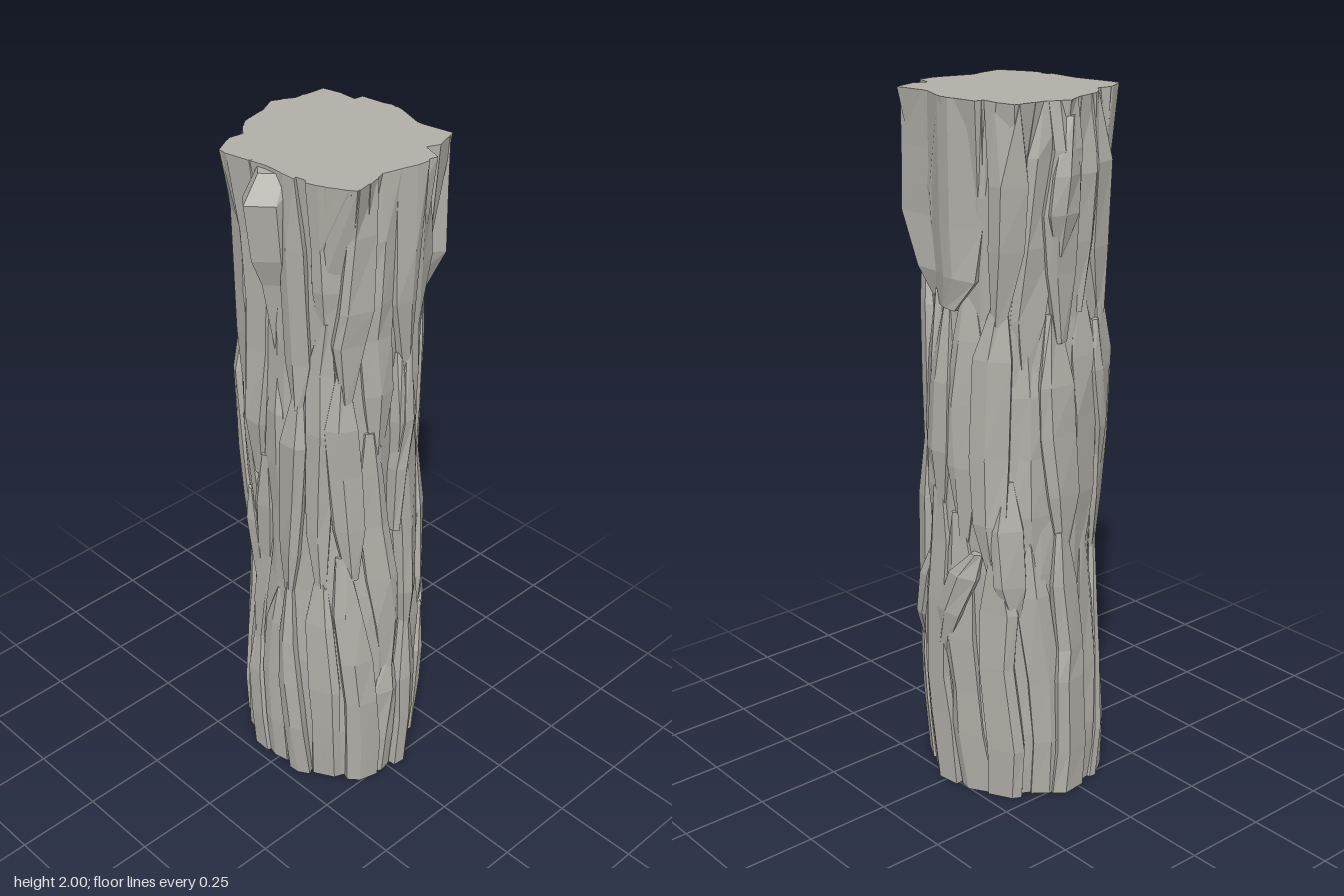
import * as THREE from 'three';

const HEIGHT = 2;

// Small seeded random generator
let seed = 23;
function rnd(a = 0, b = 1) {
  seed = (seed * 16807) % 2147483647;
  return a + (b - a) * (seed / 2147483647);
}

// Outline of the sawn top end, as x, z pairs
const OUTLINE = [
  [0.262, 0], [0.228, 0.066], [0.25, 0.188], [0.175, 0.216], [0.139, 0.2], [0.118, 0.26], [-0.037, 0.227],
  [-0.16, 0.26], [-0.2, 0.193], [-0.22, 0.045], [-0.218, -0.018], [-0.245, -0.141], [-0.177, -0.18],
  [-0.136, -0.175], [-0.08, -0.23], [0, -0.25], [0.055, -0.28], [0.118, -0.25], [0.213, -0.246],
  [0.225, -0.19], [0.216, -0.139], [0.25, -0.135], [0.266, -0.018],
];
const OUTLINE_POLAR = OUTLINE.map(([x, z]) => [(Math.atan2(z, x) + 2 * Math.PI) % (2 * Math.PI), Math.hypot(x, z)])
  .sort((p, q) => p[0] - q[0]);

// Bark reach every 0.25 in height, for eight directions starting at +x towards +z
const REACH = [
  [0.27, 0.283, 0.294, 0.275, 0.298, 0.288, 0.264, 0.26, 0.262],
  [0.265, 0.28, 0.288, 0.277, 0.267, 0.263, 0.262, 0.3, 0.305],
  [0.285, 0.302, 0.287, 0.29, 0.26, 0.282, 0.262, 0.27, 0.255],
  [0.25, 0.28, 0.285, 0.25, 0.245, 0.262, 0.258, 0.285, 0.287],
  [0.226, 0.242, 0.225, 0.208, 0.222, 0.242, 0.214, 0.22, 0.22],
  [0.263, 0.268, 0.238, 0.238, 0.255, 0.27, 0.27, 0.272, 0.265],
  [0.289, 0.3, 0.283, 0.275, 0.288, 0.29, 0.268, 0.284, 0.28],
  [0.285, 0.305, 0.3, 0.32, 0.295, 0.3, 0.292, 0.325, 0.325],
];

const lerp = THREE.MathUtils.lerp;
const wrap = (a) => ((a % (2 * Math.PI)) + 2 * Math.PI) % (2 * Math.PI);

function outlineRadius(angle) {
  const a = wrap(angle), n = OUTLINE_POLAR.length;
  for (let i = 0; i < n; i++) {
    const [a0, r0] = OUTLINE_POLAR[i];
    const [a1, r1] = i + 1 < n ? OUTLINE_POLAR[i + 1] : [2 * Math.PI, OUTLINE_POLAR[0][1]];
    if (a >= a0 && a <= a1) return lerp(r0, r1, (a - a0) / (a1 - a0));
  }
  return OUTLINE_POLAR[0][1];
}

function barkReach(angle, y) {
  const s = wrap(angle) / (Math.PI / 4), i = Math.floor(s) % 8;
  const h = Math.min(y / 0.25, 7.999), j = Math.floor(h);
  const at = (p) => lerp(p[j], p[j + 1], h - j);
  return lerp(at(REACH[i]), at(REACH[(i + 1) % 8]), s - Math.floor(s));
}

const polar = (a, r, y) => [Math.cos(a) * r, y, Math.sin(a) * r];

// Closed skin through rings of points, with flat ends
function loft(rings) {
  const pos = [];
  const tri = (...pts) => pts.forEach((p) => pos.push(...p));
  const n = rings[0].length;
  for (let k = 0; k + 1 < rings.length; k++) {
    const a = rings[k], b = rings[k + 1];
    for (let i = 0; i < n; i++) {
      const j = (i + 1) % n;
      tri(a[i], b[i], a[j]);
      tri(b[i], b[j], a[j]);
    }
  }
  const middle = (ring) => [0, 1, 2].map((c) => ring.reduce((s, p) => s + p[c], 0) / n);
  const low = rings[0], high = rings[rings.length - 1];
  const lowMid = middle(low), highMid = middle(high);
  for (let i = 0; i < n; i++) {
    const j = (i + 1) % n;
    tri(lowMid, low[i], low[j]);
    tri(highMid, high[j], high[i]);
  }
  const geo = new THREE.BufferGeometry();
  geo.setAttribute('position', new THREE.Float32BufferAttribute(pos, 3));
  geo.computeVertexNormals();
  return geo;
}

// Faceted slab of bark running up the trunk, tapered unless it reaches an end
function plateGeometry({ angle, y0, y1, half, lift = 1, lean = 0 }) {
  const rows = Math.max(3, Math.round((y1 - y0) / 0.18));
  const crestSide = rnd(-0.5, 0.5);
  const rings = [];
  for (let k = 0; k <= rows; k++) {
    const t = k / rows;
    const atTop = k === rows && y1 >= HEIGHT;
    const y = lerp(y0, y1, t) + (k > 0 && k < rows ? rnd(-0.04, 0.04) : 0);
    const fromLow = y0 <= 0 ? 1 : t * 2.6 + 0.35;
    const fromHigh = y1 >= HEIGHT ? 1 : (1 - t) * 2.6 + 0.35;
    const taper = Math.min(1, fromLow, fromHigh);
    const w = half * taper * rnd(0.88, 1.1);
    const a = angle + lean * (t - 0.5) + 0.09 * Math.sin(3.2 * y + 2 * angle) + rnd(-0.03, 0.03);
    const deep = outlineRadius(a) * 0.76;
    const top = (side, scale) => {
      const q = a + w * side;
      const r = atTop ? outlineRadius(q) : barkReach(q, y) * lift * scale * lerp(0.92, 1, taper);
      return polar(q, r, y);
    };
    rings.push([
      polar(a - w, deep, y),
      top(-0.88, rnd(0.95, 0.98)),
      top(crestSide, rnd(0.985, 1.015)),
      top(0.88, rnd(0.95, 0.98)),
      polar(a + w, deep, y),
    ]);
  }
  return loft(rings);
}

export function createModel() {
  const group = new THREE.Group();
  group.name = 'log';
  const bark = new THREE.MeshStandardMaterial({ color: 0xb2afa8, flatShading: true });
  bark.name = 'greyBark';
  const add = (geo, name) => {
    const mesh = new THREE.Mesh(geo, bark);
    mesh.name = name;
    group.add(mesh);
  };

  // Inner trunk
  const levels = [0, 0.2, 0.45, 0.7, 0.95, 1.2, 1.42, 1.75, HEIGHT];
  add(loft(levels.map((y) => OUTLINE_POLAR.map(([a, r]) => (
    polar(a, y === HEIGHT ? r : barkReach(a, y) * rnd(0.87, 0.91), y)
  )))), 'trunk');

  // Bark plates in columns, alternately proud and recessed, below the bare panel on the +x side
  const columns = 18;
  for (let c = 0; c < columns; c++) {
    const proud = c % 2 === 0;
    const angle = ((c + rnd(-0.15, 0.15)) / columns) * Math.PI * 2;
    const offset = Math.atan2(Math.sin(angle - 0.08), Math.cos(angle - 0.08));
    const ceiling = Math.abs(offset) < 0.58 ? 1.46 + 0.4 * offset * offset : HEIGHT;
    let y = 0;
    while (y < ceiling - 0.01) {
      let end = y + rnd(0.42, 0.95);
      if (end > ceiling - 0.3) end = ceiling;
      add(plateGeometry({
        angle, y0: Math.max(0, y - 0.08), y1: end,
        half: proud ? rnd(0.17, 0.22) : rnd(0.19, 0.25),
        lift: proud ? rnd(0.98, 1.01) : rnd(0.93, 0.96),
        lean: rnd(-0.14, 0.14),
      }), 'barkPlate');
      y = end;
    }
  }

  // Smooth bare panel narrowing downwards: height, first and last angle, scale
  const panelRows = [[1.44, -0.2, 0.3, 0.97], [1.53, -0.48, 0.45, 1], [1.67, -0.54, 0.68, 1], [1.85, -0.54, 0.7, 1], [HEIGHT, -0.54, 0.7, 1]];
  add(loft(panelRows.map(([y, a0, a1, s]) => {
    const front = [0, 0.3, 0.45, 0.7, 1].map((t) => lerp(a0, a1, t));
    return [polar(a0, 0.19, y), ...front.map((a) => polar(a, outlineRadius(a) * s, y)), polar(a1, 0.19, y)];
  })), 'barePanel');

  // Flared chip near the top on the -x side: height and reach
  const chipRows = [[1.45, 0.2], [1.68, 0.245], [1.76, 0.28], [1.92, 0.302], [1.99, 0.25]];
  add(loft(chipRows.map(([y, r]) => [
    polar(Math.PI - 0.45, 0.17, y), polar(Math.PI - 0.27, r * 0.85, y), polar(Math.PI - 0.03, r, y),
    polar(Math.PI + 0.11, r * 0.9, y), polar(Math.PI + 0.25, 0.17, y),
  ])), 'flaredChip');

  // Loose slivers and knots lying across the plates
  const slivers = [
    { angle: -0.3, y0: 0.42, y1: 0.76, half: 0.2, lean: -0.55, lift: 1.01 },
    { angle: -0.85, y0: 0.58, y1: 0.98, half: 0.19, lift: 1.01 },
    { angle: 0.45, y0: 0.38, y1: 0.75, half: 0.12, lean: -0.4, lift: 1.01 },
    { angle: 1.4, y0: 0.9, y1: 1.5, half: 0.13, lean: -0.35, lift: 1.01 },
    { angle: 4.3, y0: 0.9, y1: 1.4, half: 0.22, lean: 0.1, lift: 1.01 },
    { angle: 4.95, y0: 1.6, y1: 1.96, half: 0.18, lift: 1.04 },
    { angle: 3.7, y0: 0.6, y1: 0.95, half: 0.15, lean: 0.3, lift: 1.01 },
  ];
  slivers.forEach((s) => add(plateGeometry(s), 'barkSliver'));

  return group;
}
